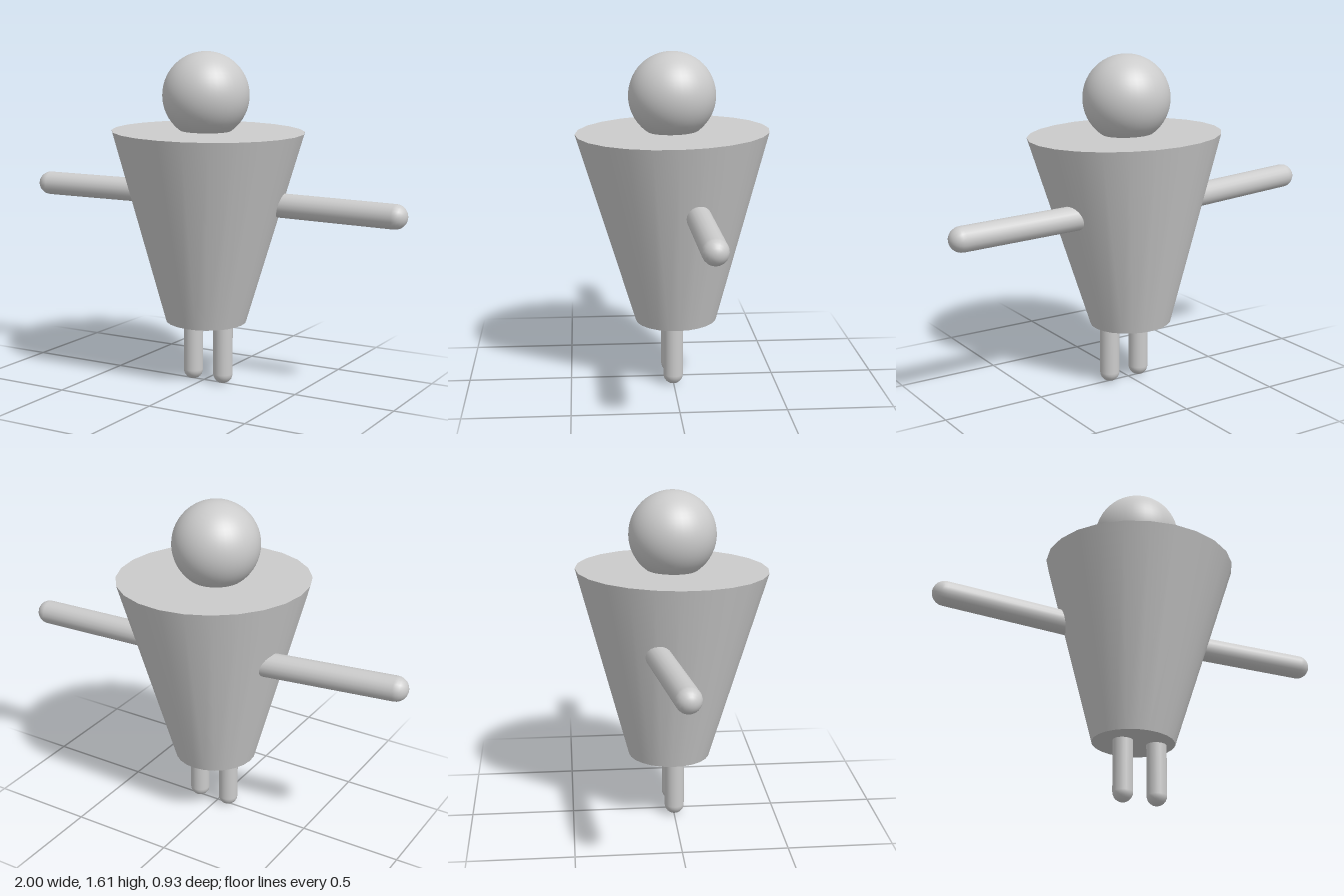
import * as THREE from 'three';

const material = new THREE.MeshStandardMaterial({ color: 0xcccccc });
const UP = new THREE.Vector3(0, 1, 0);

// Places a y-aligned geometry so that its axis runs from a to b
function along(name, a, b, makeGeometry) {
  const start = new THREE.Vector3(...a), end = new THREE.Vector3(...b);
  const axis = end.clone().sub(start);
  const mesh = new THREE.Mesh(makeGeometry(axis.length()), material);
  mesh.name = name;
  mesh.position.copy(start).add(end).multiplyScalar(0.5);
  mesh.quaternion.setFromUnitVectors(UP, axis.normalize());
  return mesh;
}

// Round-ended limb; a and b are the centres of its end caps
const limb = (name, a, b, radius) =>
  along(name, a, b, (length) => new THREE.CapsuleGeometry(radius, length, 6, 20));

export function createModel() {
  const model = new THREE.Group();

  // Tapered body, wide at the shoulders and leaning slightly
  model.add(along('body', [0, 0.3, -0.02], [0.023, 1.235, 0],
    (length) => new THREE.CylinderGeometry(0.464, 0.198, length, 24)));

  // Head resting on the shoulders
  const head = new THREE.Mesh(new THREE.SphereGeometry(0.209, 40, 28), material);
  head.name = 'head';
  head.position.set(0.01, 1.405, 0);
  model.add(head);

  // Arms, reaching from inside the body
  model.add(limb('rightArm', [-0.94, 0.92, -0.02], [-0.1, 0.902, -0.121], 0.059));
  model.add(limb('leftArm', [0.941, 0.876, -0.109], [0.1, 0.892, -0.092], 0.059));

  // Legs
  for (const [name, x] of [['rightLeg', -0.06], ['leftLeg', 0.108]]) {
    model.add(limb(name, [x, 0.049, 0.002], [x, 0.4, 0.002], 0.048));
  }
  return model;
}
